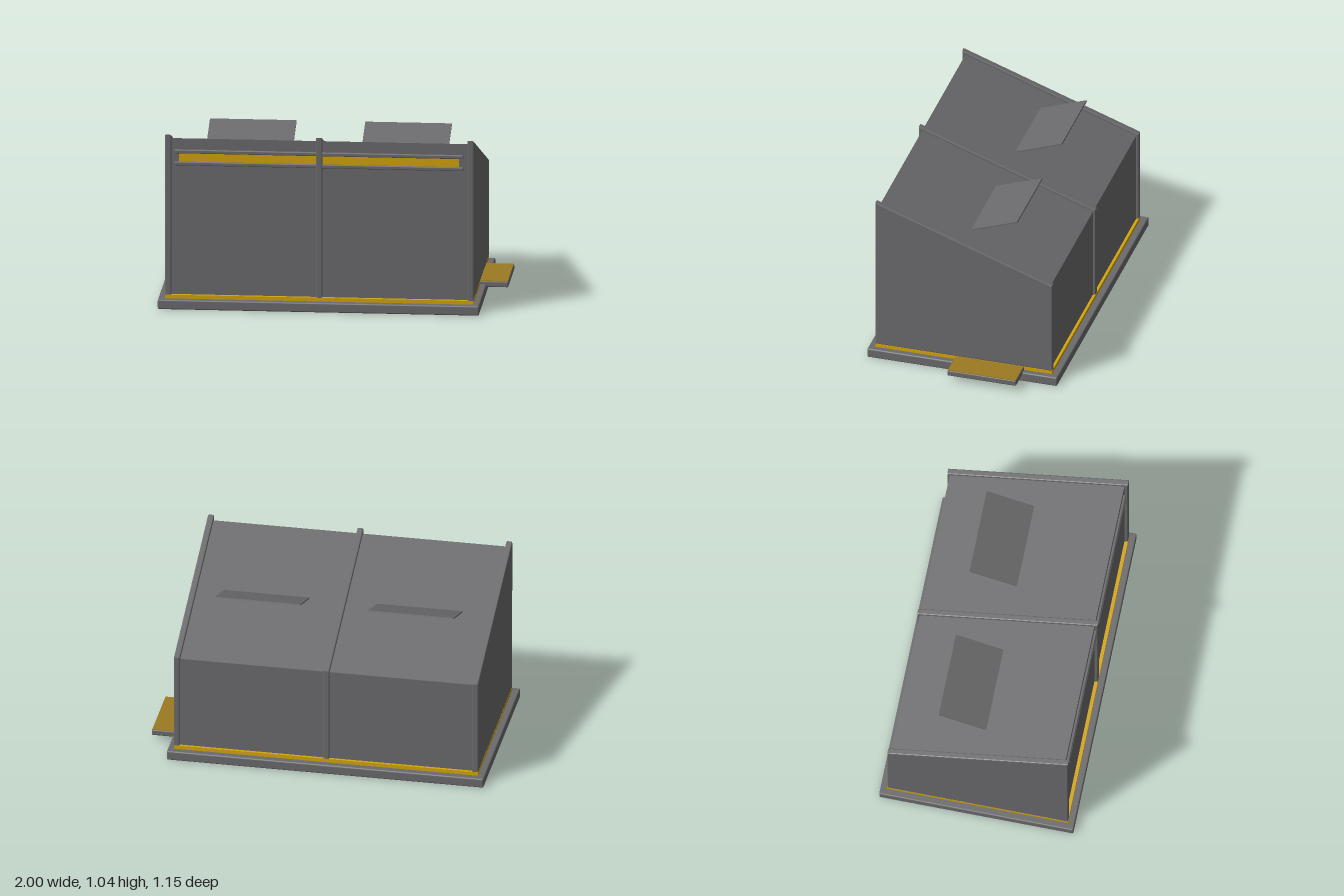
import * as THREE from 'three';
import { RoundedBoxGeometry } from 'three/addons/geometries/RoundedBoxGeometry.js';

export function createModel() {
  const model = new THREE.Group();
  model.name = 'slopedRoofCabin';
  const mat = (name, color) => {
    const m = new THREE.MeshStandardMaterial({ color });
    m.name = name;
    return m;
  };
  const grey = mat('slateGrey', 0x6b6b6d);
  const gold = mat('gold', 0xd4a50c);
  const ochre = mat('ochre', 0x9c7a22);

  const add = (name, geometry, material) => {
    const mesh = new THREE.Mesh(geometry, material);
    mesh.name = name;
    model.add(mesh);
    return mesh;
  };

  // Box given by its limits; r > 0 softens the edges
  const block = (name, material, [x0, x1], [y0, y1], [z0, z1], r = 0) => {
    const s = [x1 - x0, y1 - y0, z1 - z0];
    const g = r ? new RoundedBoxGeometry(...s, 2, r) : new THREE.BoxGeometry(...s);
    return add(name, g.translate((x0 + x1) / 2, (y0 + y1) / 2, (z0 + z1) / 2), material);
  };

  // Sloped side profile extruded along x, with an optional bevel
  const wedge = (name, x0, x1, front, back, yFront, yBack, b = 0) => {
    const shape = new THREE.Shape([
      new THREE.Vector2(-front, 0.083),
      new THREE.Vector2(-back, 0.083),
      new THREE.Vector2(-back, yBack),
      new THREE.Vector2(-front, yFront),
    ]);
    const g = new THREE.ExtrudeGeometry(shape, {
      depth: x1 - x0 - 2 * b, bevelEnabled: b > 0,
      bevelSize: b, bevelThickness: b, bevelOffset: -b, bevelSegments: 2,
    });
    g.rotateY(Math.PI / 2).translate(x0 + b, 0, 0);
    return add(name, g, grey);
  };

  // Floor slab and the gold plinth band above it
  block('baseSlab', grey, [-1, 0.872], [0.005, 0.062], [-0.575, 0.575], 0.008);
  block('plinthBand', gold, [-0.96, 0.837], [0.06, 0.084], [-0.536, 0.536]);

  // Main body and three projecting frames
  wedge('body', -0.94, 0.82, 0.515, -0.52, 1.018, 0.648);
  for (const x of [-0.943, -0.063, 0.82])
    wedge('frame', x - 0.018, x + 0.018, 0.535, -0.535, 1.043, 0.66, 0.006);

  // Gold front stripe between two rails
  block('frontStripe', gold, [-0.88, 0.752], [0.875, 0.93], [0.512, 0.519]);
  for (const y of [0.869, 0.941])
    block('stripeRail', grey, [-0.907, 0.777], [y - 0.011, y + 0.011], [0.505, 0.53], 0.005);

  // Opened roof flaps
  for (const x of [-0.513, 0.392]) {
    const flap = add('roofFlap', new THREE.BoxGeometry(0.505, 0.008, 0.3), grey);
    flap.position.set(x, 0.885, -0.127);
    flap.rotation.x = THREE.MathUtils.degToRad(20);
  }

  // Side step: grey tray with an ochre top
  block('sideStep', grey, [0.82, 1], [0.045, 0.08], [-0.365, 0.053], 0.007);
  block('sideStepTop', ochre, [0.825, 0.997], [0.075, 0.083], [-0.361, 0.049]);

  return model;
}
